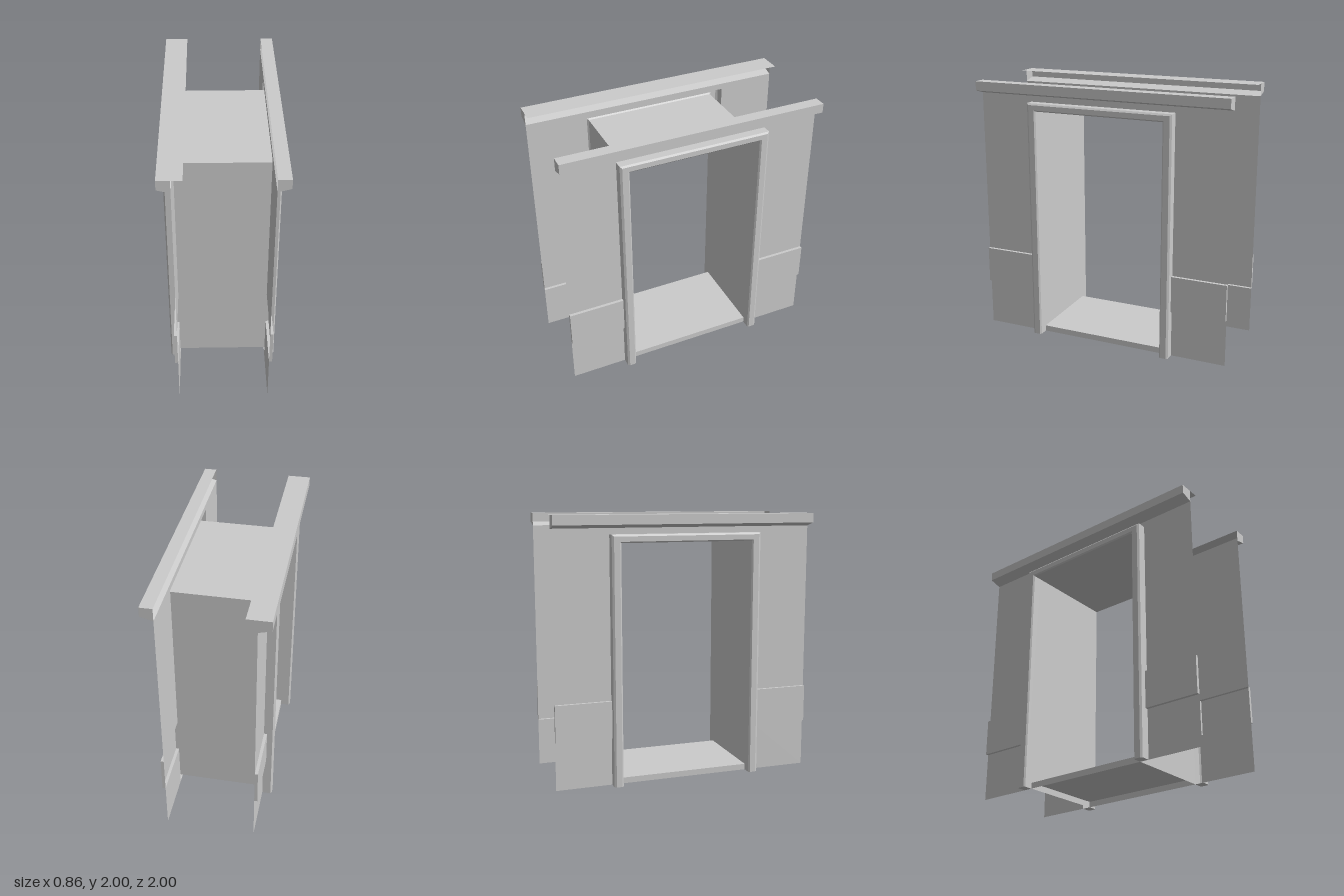
import * as THREE from 'three';

const material = new THREE.MeshStandardMaterial({
  color: 0xcccccc, flatShading: true, side: THREE.DoubleSide,
});

// Skin a list of cross-sections ([x, y, z] points); optionally close the two ends.
function loft(name, sections, capped = false) {
  const positions = [];
  const tri = (a, b, c) => positions.push(...a, ...b, ...c);
  for (let i = 0; i < sections.length - 1; i++) {
    const p = sections[i], q = sections[i + 1];
    for (let j = 0; j < p.length - 1; j++) {
      tri(p[j], p[j + 1], q[j + 1]);
      tri(p[j], q[j + 1], q[j]);
    }
  }
  if (capped) {
    const first = sections[0], last = sections[sections.length - 1];
    for (let j = 1; j < first.length - 1; j++) {
      tri(first[0], first[j + 1], first[j]);
      tri(last[0], last[j], last[j + 1]);
    }
  }
  const geometry = new THREE.BufferGeometry();
  geometry.setAttribute('position', new THREE.Float32BufferAttribute(positions, 3));
  geometry.computeVertexNormals();
  const mesh = new THREE.Mesh(geometry, material);
  mesh.name = name;
  return mesh;
}

// Run an [x, y] profile straight along z on one side (s = 1 or -1).
function run(name, s, profile, z0, z1, capped = false) {
  const ends = s > 0 ? [z0, z1] : [z1, z0];
  return loft(name, ends.map((z) => profile.map(([x, y]) => [s * x, y, z])), capped);
}

const WALL = 0.335;      // wall plane
const HALF = 0.505;      // half width of the passage
const CUT = 0.575;       // half width of the wall opening
const CEILING = 1.8;
const FLOOR = 0.045;
const HEAD = 1.86;       // top of the wall opening
const WALL_TOP = 1.905;

function createSide(s) {
  const side = new THREE.Group();
  side.name = s > 0 ? 'leftWall' : 'rightWall';

  // wall pieces beside the opening, each with a hollow raised panel
  for (const [z0, z1] of [[-1, -CUT], [CUT, 1]]) {
    side.add(run('lowerWall', s, [[WALL, 0], [WALL, 0.365]], z0, z1));
    side.add(run('raisedPanel', s,
      [[WALL, 0.365], [0.358, 0.365], [0.358, 0.645], [WALL, 0.645]], z0, z1, true));
    side.add(run('upperWall', s, [[WALL, 0.645], [WALL, WALL_TOP]], z0, z1));
  }
  side.add(run('wallAboveDoor', s, [[WALL, HEAD], [WALL, WALL_TOP]], -CUT, CUT));

  // cornice, open towards the inside
  side.add(run('cornice', s,
    [[WALL, WALL_TOP], [0.428, 1.93], [0.428, 2], [WALL, 2]], -1, 1, true));
  if (s < 0) side.add(run('corniceLip', s, [[WALL, 2], [0.257, 2]], -1, 1));

  // bevelled door frame swept up, across and down
  const profile = [[0, WALL], [0, 0.4], [0.011, 0.41], [0.055, 0.41], [0.07, 0.4], [0.07, WALL]];
  const rise = (w) => CEILING + w * (HEAD - CEILING) / 0.07;
  const stations = [[-1, false], [-1, true], [1, true], [1, false]].map(([dir, top]) =>
    profile.map(([w, x]) => [s * x, top ? rise(w) : 0, dir * (HALF + w)]));
  side.add(loft('doorFrame', s > 0 ? stations : stations.reverse(), true));

  // sill below the floor edge
  side.add(run('doorSill', s, [[WALL, 0], [WALL, FLOOR]], -HALF, HALF));
  return side;
}

export function createModel() {
  const model = new THREE.Group();
  model.name = 'doorwayPassage';

  for (const s of [1, -1]) model.add(createSide(s));

  // passage joining the two openings
  const tunnel = [[0, -HALF], [CEILING, -HALF], [CEILING, HALF], [0, HALF]];
  model.add(loft('passageWallsAndCeiling',
    [-WALL, WALL].map((x) => tunnel.map(([y, z]) => [x, y, z]))));
  model.add(loft('passageFloor',
    [-WALL, WALL].map((x) => [[x, FLOOR, HALF], [x, FLOOR, -HALF]])));

  model.position.x = -0.0025;
  return model;
}
